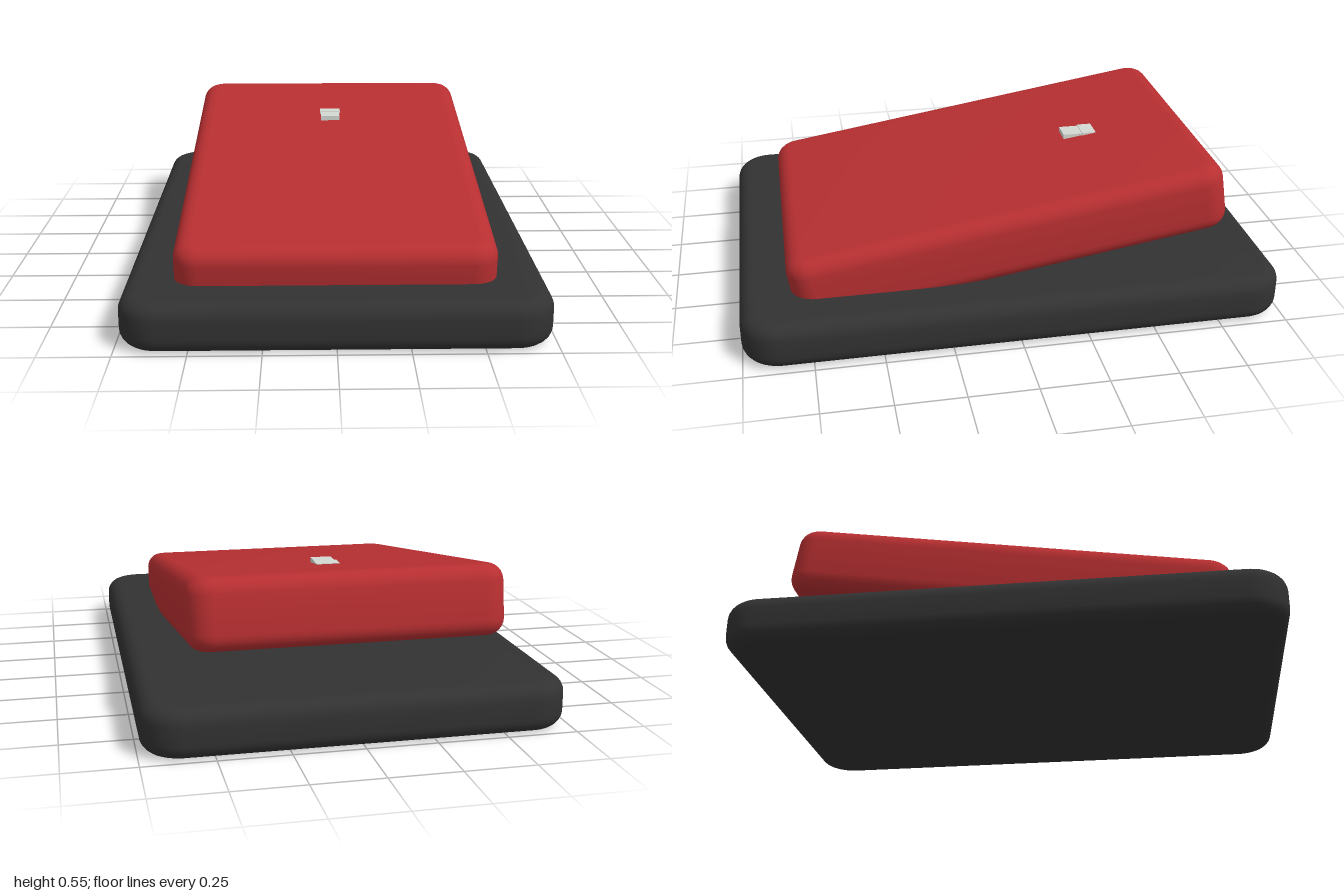
import * as THREE from 'three';
import { toCreasedNormals } from 'three/addons/utils/BufferGeometryUtils.js';

// Centred slab, rounded in plan by `corner` and along its edges by `bevel`
function roundedSlab(width, height, length, corner, bevel) {
  const x = width / 2 - bevel, z = length / 2 - bevel, r = corner - bevel;
  const s = new THREE.Shape();
  s.absarc(x - r, z - r, r, 0, Math.PI / 2);
  s.absarc(-x + r, z - r, r, Math.PI / 2, Math.PI);
  s.absarc(-x + r, -z + r, r, Math.PI, Math.PI * 1.5);
  s.absarc(x - r, -z + r, r, Math.PI * 1.5, Math.PI * 2);
  const depth = height - 2 * bevel;
  const geometry = new THREE.ExtrudeGeometry(s, {
    depth, bevelEnabled: true, bevelSize: bevel, bevelThickness: bevel,
    bevelSegments: 6, curveSegments: 8,
  });
  geometry.translate(0, 0, -depth / 2);
  geometry.rotateX(-Math.PI / 2);
  return toCreasedNormals(geometry, 0.7);
}

export function createModel() {
  const model = new THREE.Group();
  const black = new THREE.MeshStandardMaterial({ name: 'charcoal', color: 0x323232 });
  const red = new THREE.MeshStandardMaterial({ name: 'red', color: 0xb82f31 });
  const silver = new THREE.MeshStandardMaterial({ name: 'silver', color: 0xd4d8d2 });

  const add = (name, geometry, material, x, y, z) => {
    const mesh = new THREE.Mesh(geometry, material);
    mesh.name = name;
    mesh.position.set(x, y, z);
    model.add(mesh);
    return mesh;
  };

  // Flat base plate
  add('basePlate', roundedSlab(1.48, 0.175, 2, 0.14, 0.055), black, 0, 0.0875, 0);

  // Rocker tilted up at the back, its front sunk into the base
  const rocker = add('rocker', roundedSlab(1.127, 0.255, 1.647, 0.09, 0.06), red, 0, 0.305, 0);
  rocker.rotation.x = THREE.MathUtils.degToRad(9);

  // Level marker, half sunk into the rocker, with a slightly wider rear step
  add('markerFront', new THREE.BoxGeometry(0.078, 0.018, 0.09), silver, 0, 0.493, -0.35);
  add('markerRear', new THREE.BoxGeometry(0.086, 0.018, 0.055), silver, 0, 0.496, -0.408);

  return model;
}
